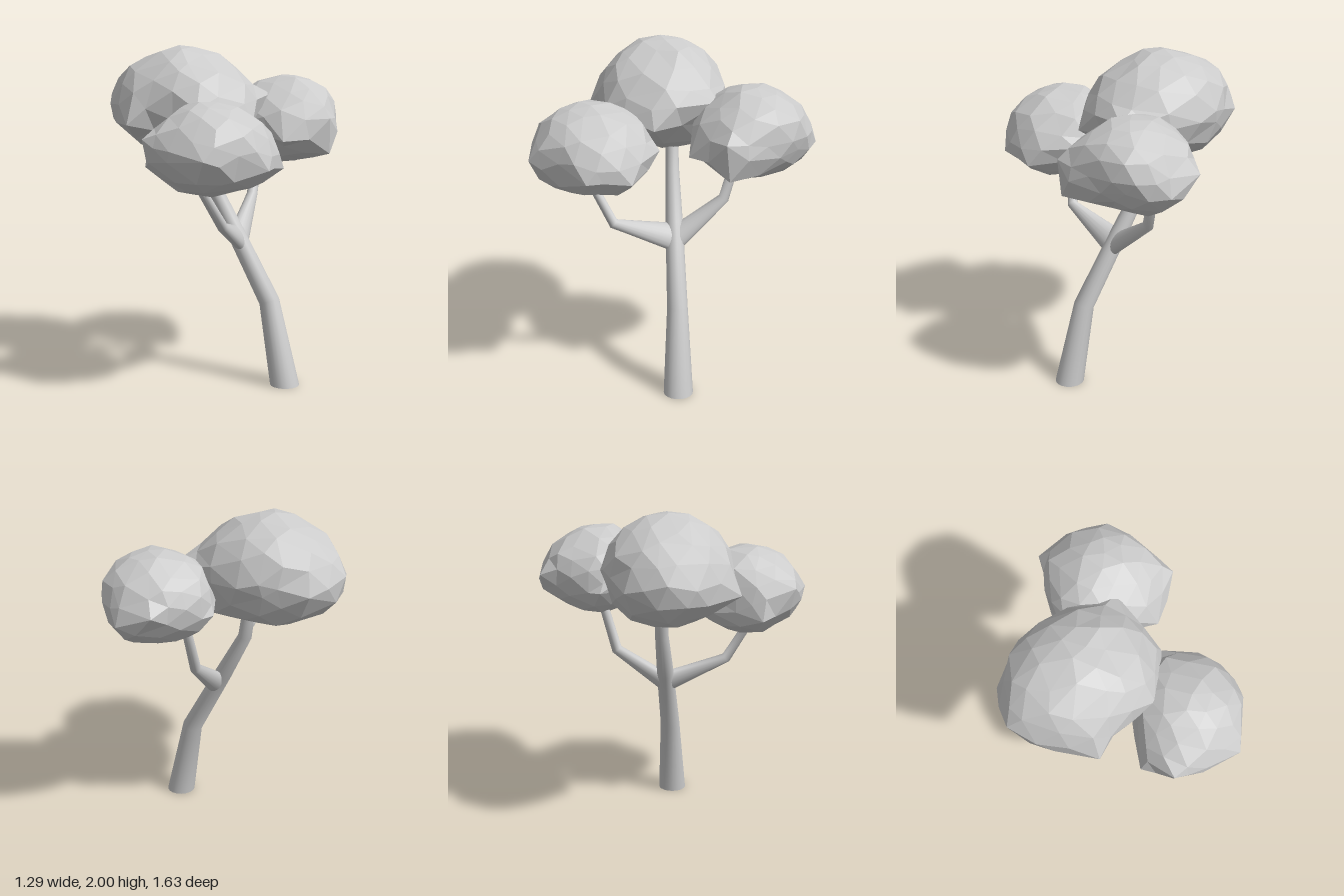
import * as THREE from 'three';
import { mergeVertices } from 'three/addons/utils/BufferGeometryUtils.js';

const bark = new THREE.MeshStandardMaterial({ color: 0xcccccc });
const leaf = new THREE.MeshStandardMaterial({ color: 0xcccccc, flatShading: true, side: THREE.DoubleSide });
const UP = new THREE.Vector3(0, 1, 0);
const TRUNK_DIR = new THREE.Vector3(-0.51, 0.86, 0).normalize();

// Tapered limb with mitred bends; each joint is [x, y, z, radius].
// flare stretches the first ring along the trunk, as a branch root does.
function limb(name, joints, { startDir, flare = 0 }) {
  const pts = joints.map(j => new THREE.Vector3(j[0], j[1], j[2]));
  const n = pts.length - 1;
  const turns = pts.map((p, i) => {
    const dir = new THREE.Vector3();
    if (i > 0) dir.add(p.clone().sub(pts[i - 1]).normalize());
    if (i < n) dir.add(pts[i + 1].clone().sub(p).normalize());
    if (i === 0 && startDir) dir.copy(startDir);
    return new THREE.Quaternion().setFromUnitVectors(UP, dir.normalize());
  });
  let geo = new THREE.CylinderGeometry(1, 1, 1, 18, n, true);
  const pos = geo.attributes.position;
  const v = new THREE.Vector3();
  for (let i = 0; i < pos.count; i++) {
    const k = Math.round((pos.getY(i) + 0.5) * n);
    v.set(pos.getX(i), 0, pos.getZ(i)).multiplyScalar(joints[k][3]);
    v.applyQuaternion(turns[k]);
    if (k === 0) v.addScaledVector(TRUNK_DIR, v.dot(TRUNK_DIR) * flare);
    v.add(pts[k]);
    pos.setXYZ(i, v.x, v.y, v.z);
  }
  geo.deleteAttribute('uv');
  geo.deleteAttribute('normal');
  geo = mergeVertices(geo, 1e-5);
  geo.computeVertexNormals();
  const mesh = new THREE.Mesh(geo, bark);
  mesh.name = name;
  return mesh;
}

// Faceted leaf mass: a jittered ellipsoid whose nearest corners are pulled to the given tips,
// with the corners around each tip following part of the way
function foliage(name, centre, radii, tips, seed) {
  let geo = new THREE.IcosahedronGeometry(1, 2);
  geo.deleteAttribute('uv');
  geo.deleteAttribute('normal');
  geo = mergeVertices(geo, 1e-4);
  geo.rotateY(seed);
  const rand = () => {
    seed = (seed * 16.807 + 0.317) % 1;
    return seed - 0.5;
  };
  const pos = geo.attributes.position;
  const v = new THREE.Vector3();
  for (let i = 0; i < pos.count; i++) {
    v.fromBufferAttribute(pos, i);
    v.x += rand() * 0.16;
    v.y += rand() * 0.14;
    v.z += rand() * 0.16;
    v.normalize().multiplyScalar(1 + rand() * 0.07);
    pos.setXYZ(i, centre[0] + v.x * radii[0], centre[1] + v.y * radii[1], centre[2] + v.z * radii[2]);
  }
  const used = new Set();
  const pulls = tips.map(tip => {
    const goal = new THREE.Vector3(...tip);
    let best = -1, bestDist = Infinity;
    for (let i = 0; i < pos.count; i++) {
      const d = v.fromBufferAttribute(pos, i).distanceTo(goal);
      if (d < bestDist && !used.has(i)) { best = i; bestDist = d; }
    }
    used.add(best);
    const from = new THREE.Vector3().fromBufferAttribute(pos, best);
    pos.setXYZ(best, ...tip);
    return { from, move: goal.sub(from) };
  });
  for (let i = 0; i < pos.count; i++) {
    if (used.has(i)) continue;
    v.fromBufferAttribute(pos, i);
    const start = v.clone();
    for (const { from, move } of pulls) {
      v.addScaledVector(move, 0.6 * Math.max(0, 1 - start.distanceTo(from) / 0.24));
    }
    pos.setXYZ(i, v.x, v.y, v.z);
  }
  geo.computeVertexNormals();
  const mesh = new THREE.Mesh(geo, leaf);
  mesh.name = name;
  return mesh;
}

export function createModel() {
  const tree = new THREE.Group();
  tree.name = 'tree';

  // Leaning trunk and its base disc
  tree.add(limb('trunk', [
    [0.488, 0, -0.02, 0.087], [0.379, 0.5, -0.02, 0.061], [0.13, 0.93, -0.015, 0.052],
    [-0.035, 1.22, -0.012, 0.041], [-0.08, 1.5, -0.01, 0.036],
  ], { startDir: UP }));
  const base = new THREE.Mesh(new THREE.CircleGeometry(0.087, 18).rotateX(Math.PI / 2), bark);
  base.position.set(0.488, 0, -0.02);
  base.name = 'trunkBase';
  tree.add(base);

  // Side branches, flared along the trunk where they leave it
  tree.add(limb('frontBranch', [
    [0.17, 0.87, 0.008, 0.043], [0.27, 1.0, 0.345, 0.031], [0.18, 1.3, 0.51, 0.025],
  ], { flare: 0.95 }));
  tree.add(limb('backBranch', [
    [0.165, 0.87, -0.038, 0.043], [0.1, 1.08, -0.31, 0.033], [0.1, 1.4, -0.4, 0.027],
  ], { flare: 0.95 }));

  // Three leaf masses
  tree.add(foliage('crownFoliage', [-0.18, 1.67, 0.04], [0.43, 0.33, 0.36], [
    [-0.65, 1.7, 0.11], [-0.63, 1.56, 0.05], [-0.58, 1.63, -0.14], [-0.35, 1.7, -0.3],
    [-0.04, 1.65, -0.33], [0.25, 1.71, -0.26], [0.33, 1.57, 0.11], [0.22, 1.62, 0.28],
    [-0.29, 1.56, 0.48], [-0.48, 1.55, 0.31], [-0.2, 2.0, 0.05], [-0.15, 1.34, -0.03],
    [0.03, 1.42, -0.22], [0.12, 1.66, 0.38], [-0.02, 1.95, 0.08],
  ], 0.37));
  tree.add(foliage('frontFoliage', [0.26, 1.455, 0.46], [0.335, 0.265, 0.335], [
    [0.36, 1.47, 0.08], [0.6, 1.35, 0.24], [0.64, 1.37, 0.49], [0.42, 1.44, 0.81],
    [0.2, 1.48, 0.8], [0.01, 1.53, 0.77], [-0.09, 1.35, 0.59], [-0.01, 1.53, 0.42],
    [0.3, 1.72, 0.46], [0.25, 1.19, 0.42], [0.35, 1.31, 0.76], [0.06, 1.45, 0.27],
    [0.03, 1.4, 0.74],
  ], 0.61));
  tree.add(foliage('backFoliage', [0.255, 1.545, -0.44], [0.32, 0.265, 0.32], [
    [0.24, 1.47, -0.82], [0.45, 1.66, -0.69], [0.03, 1.55, -0.76], [-0.09, 1.48, -0.37],
    [0.64, 1.58, -0.27], [0.63, 1.37, -0.29], [0.43, 1.45, -0.08], [0.3, 1.81, -0.47],
    [0.3, 1.28, -0.5], [0.57, 1.55, -0.5], [0.2, 1.5, -0.15], [0.25, 1.37, -0.74],
    [0.47, 1.43, -0.62],
  ], 0.83));
  return tree;
}
